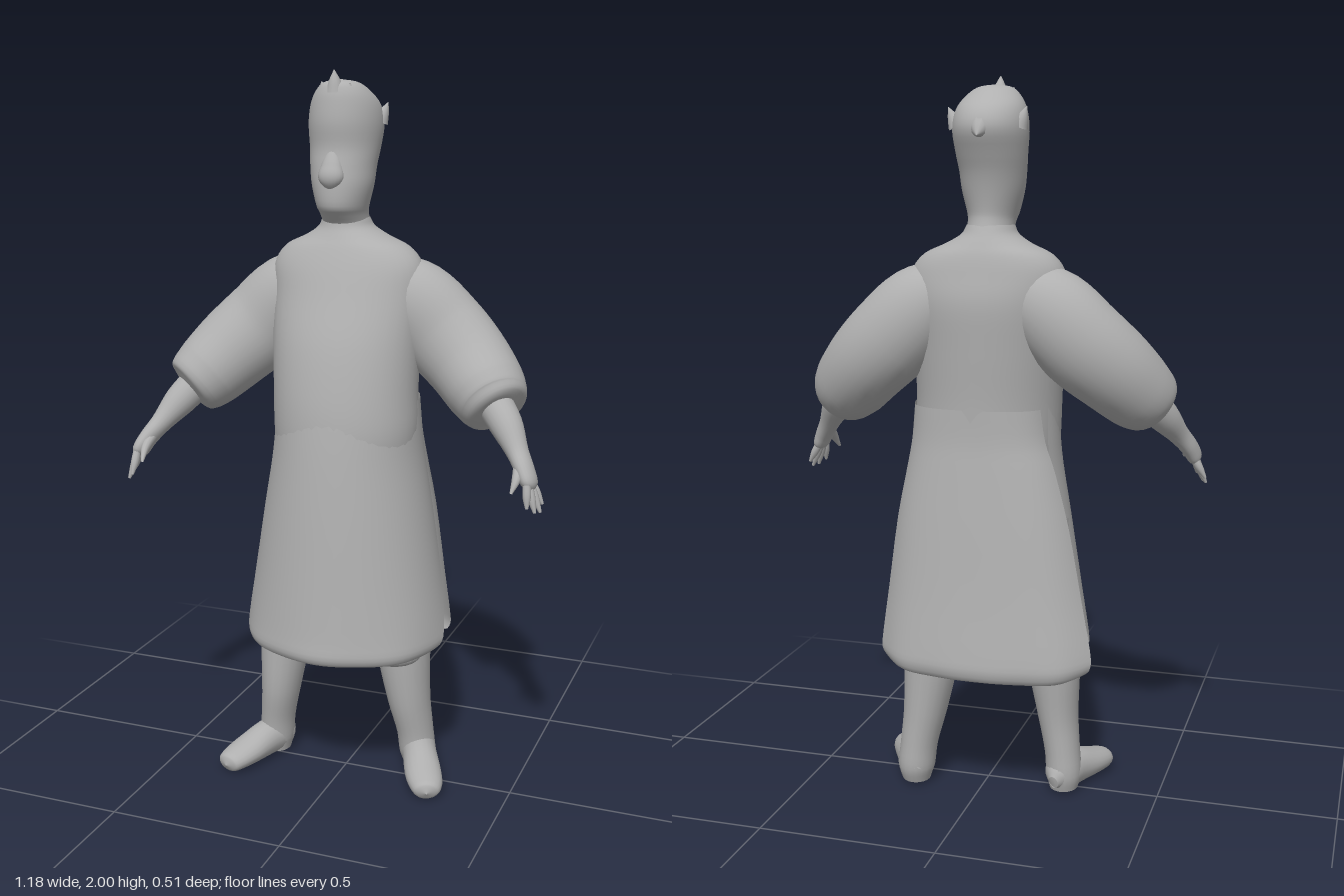
import * as THREE from 'three';

const V = (a) => new THREE.Vector3(a[0], a[1], a[2]);

// Skin a list of rings (arrays of Vector3) with smooth normals
function skin(rings, closed) {
  const n = rings[0].length, pos = [], idx = [];
  rings.forEach((r) => r.forEach((p) => pos.push(p.x, p.y, p.z)));
  for (let i = 0; i < rings.length - 1; i++) {
    for (let j = 0; j < (closed ? n : n - 1); j++) {
      const k = (j + 1) % n, a = i * n + j, b = a + n, c = (i + 1) * n + k, d = i * n + k;
      idx.push(a, b, c, a, c, d);
    }
  }
  const g = new THREE.BufferGeometry();
  g.setAttribute('position', new THREE.Float32BufferAttribute(pos, 3));
  g.setIndex(idx);
  g.computeVertexNormals();
  return g;
}

// Smoothly resample rows of numbers; the rows may have any length
function resample(rows, steps) {
  const curves = rows[0].map((_, c) =>
    new THREE.CatmullRomCurve3(rows.map((r, i) => new THREE.Vector3(i, r[c], 0))));
  return Array.from({ length: steps + 1 }, (_, i) => curves.map((cv) => cv.getPoint(i / steps).y));
}

// Horizontal rings, rows are [y, centre x, half width, front z, back z]
function stack(rows, steps = 40, seg = 40) {
  return skin(resample(rows, steps).map(([y, cx, rx, zf, zb]) =>
    Array.from({ length: seg }, (_, j) => {
      const a = (j / seg) * Math.PI * 2;
      return new THREE.Vector3(cx + rx * Math.sin(a), y, (zf + zb) / 2 + ((zf - zb) / 2) * Math.cos(a));
    })), true);
}

// Open cloth panel, rows are [y, centre x, rx, rz, half angle in degrees]
function panel(rows, mid, cz, sag, square) {
  const seg = 40, bend = (v) => Math.sign(v) * Math.abs(v) ** square;
  return skin(resample(rows, 24).map(([y, cx, rx, rz, half], i) =>
    Array.from({ length: seg + 1 }, (_, j) => {
      const u = (j / seg) * 2 - 1, a = THREE.MathUtils.degToRad(mid + u * half);
      const low = (i / 24) ** 3;
      const fold = 1 + 0.015 * low * Math.cos(u * 11);
      return new THREE.Vector3(
        cx + rx * fold * bend(Math.sin(a)),
        y + low * sag * u ** 4,
        cz + rz * fold * bend(Math.cos(a)));
    })), false);
}

// Tapered tube, rows are [x, y, z, radius along ref, radius across]
function limb(rows, ref = [0, 0, 1], steps = 24, seg = 20) {
  const curve = new THREE.CatmullRomCurve3(rows.map(V));
  const radii = resample(rows.map((r) => [r[3], r[4] ?? r[3]]), steps);
  return skin(radii.map(([r1, r2], i) => {
    const p = curve.getPoint(i / steps), t = curve.getTangent(i / steps);
    const f = V(ref).addScaledVector(t, -t.dot(V(ref))).normalize();
    const s = f.clone().cross(t);
    return Array.from({ length: seg }, (_, j) => {
      const a = (j / seg) * Math.PI * 2;
      return p.clone().addScaledVector(f, r1 * Math.cos(a)).addScaledVector(s, r2 * Math.sin(a));
    });
  }), true);
}

export function createModel() {
  const model = new THREE.Group();
  const grey = new THREE.MeshStandardMaterial({ color: 0xb0b0b0, side: THREE.DoubleSide });
  grey.name = 'plain grey';
  const add = (name, geometry, parent = model) => {
    const m = new THREE.Mesh(geometry, grey);
    m.name = name;
    parent.add(m);
    return m;
  };

  // Head and neck
  const head = new THREE.Group();
  head.name = 'head';
  model.add(head);
  add('skull', stack([
    [1.56, -0.025, 0.07, 0.0, -0.14], [1.59, -0.025, 0.064, 0.004, -0.145],
    [1.62, -0.026, 0.064, 0.028, -0.138], [1.645, -0.027, 0.07, 0.046, -0.136],
    [1.7, -0.028, 0.084, 0.047, -0.145], [1.75, -0.03, 0.09, 0.04, -0.158],
    [1.8, -0.03, 0.096, 0.032, -0.178], [1.86, -0.03, 0.101, 0.037, -0.2],
    [1.91, -0.03, 0.093, 0.033, -0.181], [1.945, -0.03, 0.073, 0.026, -0.135],
    [1.968, -0.03, 0.045, 0.012, -0.09], [1.976, -0.03, 0.001, -0.03, -0.032],
  ]), head);
  add('nose', limb([[-0.03, 1.8, 0.02, 0.006, 0.01], [-0.03, 1.75, 0.03, 0.022, 0.03],
    [-0.03, 1.715, 0.036, 0.025, 0.034], [-0.03, 1.68, 0.034, 0.002]]), head);

  // Pointed tufts of hair: base, tip, radius
  [
    [[-0.03, 1.945, 0.004], [-0.03, 2.0, 0.012], 0.026],
    [[-0.065, 1.93, -0.01], [-0.07, 1.97, 0.0], 0.022],
    [[0.005, 1.93, -0.01], [0.01, 1.965, 0.0], 0.022],
    [[-0.03, 1.86, -0.18], [-0.03, 1.84, -0.215], 0.03],
    [[-0.115, 1.865, -0.11], [-0.137, 1.915, -0.115], 0.024],
    [[0.055, 1.865, -0.11], [0.077, 1.915, -0.115], 0.024],
  ].forEach(([a, b, r]) => add('hairTuft', limb([
    [...a, r], [...a.map((v, i) => (v + b[i]) / 2), r * 0.6], [...b, 0.001]], [0.1, 0.2, 1], 10, 12), head));

  // Upper robe, rising into a soft collar
  add('torso', stack([
    [1.61, -0.026, 0.064, 0.006, -0.14], [1.585, -0.025, 0.078, 0.012, -0.152], [1.56, -0.022, 0.118, 0.024, -0.165],
    [1.53, -0.02, 0.18, 0.04, -0.178], [1.48, -0.017, 0.215, 0.062, -0.19],
    [1.4, -0.012, 0.217, 0.092, -0.203], [1.28, -0.01, 0.21, 0.137, -0.196],
    [1.15, -0.005, 0.205, 0.168, -0.186], [1.05, 0, 0.205, 0.181, -0.182], [0.97, 0, 0.2, 0.18, -0.175],
  ]));

  // Skirt panels, split at the sides and turned under at the hem
  add('frontPanel', panel([
    [1.12, 0, 0.2, 0.191, 108], [1.04, 0, 0.206, 0.204, 110], [0.95, 0, 0.215, 0.216, 110], [0.8, 0, 0.24, 0.232, 106],
    [0.6, 0, 0.272, 0.25, 98], [0.48, 0, 0.292, 0.261, 88],
    [0.43, 0, 0.296, 0.266, 83], [0.408, 0, 0.28, 0.25, 80], [0.425, 0, 0.25, 0.225, 78],
  ], 0, -0.02, 0.02, 1));
  add('backPanel', panel([
    [1.12, 0, 0.195, 0.163, 62], [1.03, -0.002, 0.205, 0.165, 64], [0.95, -0.008, 0.225, 0.174, 66],
    [0.8, -0.015, 0.262, 0.192, 66], [0.6, -0.025, 0.3, 0.215, 64],
    [0.46, -0.033, 0.328, 0.234, 62], [0.41, -0.034, 0.332, 0.238, 61], [0.382, -0.034, 0.318, 0.225, 60],
    [0.4, -0.034, 0.29, 0.205, 59],
  ], 180, -0.02, 0.035, 0.74));

  // Gathered garment beneath the skirt
  add('underRobe', stack([
    [1.02, 0, 0.18, 0.13, -0.14], [0.8, 0, 0.215, 0.13, -0.145], [0.6, -0.003, 0.24, 0.14, -0.15],
    [0.45, -0.005, 0.25, 0.15, -0.15], [0.395, -0.005, 0.235, 0.14, -0.14],
    [0.378, -0.005, 0.18, 0.1, -0.1], [0.4, -0.005, 0.001, 0.0, -0.002],
  ]));
  for (const [x, z] of [[-0.17, 0.06], [0.16, 0.06], [-0.05, 0.09], [0.06, 0.09]]) {
    const puff = add('gatheredFold', new THREE.SphereGeometry(1, 20, 14));
    puff.scale.set(0.085, 0.035, 0.07);
    puff.position.set(x, 0.405, z);
  }

  // Sleeves, forearms and hands; the two arms are posed differently
  const arms = {
    left: {
      sleeve: [[0.07, 1.43, -0.07, 0.08, 0.09], [0.165, 1.382, -0.085, 0.104, 0.12], [0.25, 1.3, -0.092, 0.11, 0.126],
        [0.325, 1.23, -0.075, 0.113, 0.12], [0.39, 1.165, -0.035, 0.112, 0.11], [0.42, 1.135, -0.01, 0.1, 0.098],
        [0.433, 1.123, 0.002, 0.082, 0.084], [0.438, 1.118, 0.006, 0.045, 0.045], [0.44, 1.116, 0.008, 0.002]],
      hand: [[0.4, 1.16, -0.02, 0.05], [0.465, 1.088, 0.03, 0.045], [0.508, 1.025, 0.067, 0.033, 0.03],
        [0.535, 0.985, 0.092, 0.036, 0.025], [0.553, 0.95, 0.105, 0.034, 0.02], [0.56, 0.93, 0.11, 0.002]],
      knuckle: [0.55, 0.955, 0.105],
      tips: [[0.584, 0.895, 0.085], [0.584, 0.878, 0.107], [0.573, 0.88, 0.125], [0.555, 0.893, 0.14]],
      thumb: [[0.52, 1.0, 0.09], [0.522, 0.965, 0.13], [0.515, 0.935, 0.152]],
    },
    right: {
      sleeve: [[-0.1, 1.43, -0.07, 0.08, 0.09], [-0.195, 1.382, -0.082, 0.104, 0.12], [-0.28, 1.3, -0.075, 0.11, 0.126],
        [-0.355, 1.23, -0.04, 0.113, 0.12], [-0.415, 1.165, 0.01, 0.108, 0.108], [-0.443, 1.135, 0.038, 0.096, 0.096],
        [-0.455, 1.122, 0.05, 0.08, 0.082], [-0.46, 1.117, 0.055, 0.045, 0.045], [-0.462, 1.115, 0.057, 0.002]],
      hand: [[-0.42, 1.16, 0.02, 0.05], [-0.478, 1.088, 0.075, 0.045], [-0.515, 1.03, 0.125, 0.033, 0.03],
        [-0.54, 0.99, 0.16, 0.036, 0.025], [-0.555, 0.955, 0.185, 0.034, 0.02], [-0.56, 0.94, 0.19, 0.002]],
      knuckle: [-0.553, 0.96, 0.183],
      tips: [[-0.588, 0.9, 0.165], [-0.586, 0.88, 0.195], [-0.575, 0.882, 0.215], [-0.555, 0.9, 0.232]],
      thumb: [[-0.525, 1.005, 0.15], [-0.525, 0.975, 0.205], [-0.515, 0.945, 0.245]],
    },
  };
  for (const [side, a] of Object.entries(arms)) {
    const arm = new THREE.Group();
    arm.name = side + 'Arm';
    model.add(arm);
    add('sleeve', limb(a.sleeve, [0, 0, 1], 40, 28), arm);
    add('forearmAndPalm', limb(a.hand), arm);
    a.tips.forEach((tip, i) => {
      const base = [a.knuckle[0], a.knuckle[1], a.knuckle[2] + (i - 1.5) * 0.014];
      const mid = base.map((v, k) => v * 0.5 + tip[k] * 0.5);
      add('finger', limb([[...base, 0.011], [...mid, 0.011], [...tip, 0.004]], [0, 0, 1], 8, 10), arm);
    });
    add('thumb', limb([[...a.thumb[0], 0.016], [...a.thumb[1], 0.012], [...a.thumb[2], 0.004]], [1, 0, 0], 8, 10), arm);
  }

  // Legs and out-turned feet
  const legs = {
    left: {
      leg: [[0.125, 0.8, -0.06, 0.09, 0.08], [0.145, 0.55, -0.058, 0.088, 0.085], [0.155, 0.37, -0.06, 0.084, 0.078],
        [0.172, 0.22, -0.066, 0.075, 0.062], [0.188, 0.12, -0.076, 0.064, 0.053], [0.195, 0.05, -0.08, 0.06, 0.052],
        [0.196, 0.008, -0.08, 0.045, 0.04]],
      foot: [[0.178, 0.04, -0.13, 0.02, 0.015], [0.19, 0.052, -0.1, 0.051, 0.048], [0.22, 0.052, -0.03, 0.052, 0.05],
        [0.256, 0.04, 0.05, 0.04, 0.053], [0.28, 0.032, 0.1, 0.032, 0.047], [0.29, 0.028, 0.128, 0.025, 0.034],
        [0.294, 0.026, 0.138, 0.002]],
    },
    right: {
      leg: [[-0.16, 0.8, -0.04, 0.09, 0.08], [-0.185, 0.55, -0.03, 0.088, 0.083], [-0.2, 0.37, -0.02, 0.08, 0.074],
        [-0.212, 0.22, -0.012, 0.071, 0.057], [-0.226, 0.12, -0.018, 0.061, 0.05], [-0.232, 0.05, -0.022, 0.057, 0.05],
        [-0.232, 0.008, -0.022, 0.045, 0.04]],
      foot: [[-0.215, 0.04, -0.08, 0.02, 0.015], [-0.225, 0.052, -0.045, 0.051, 0.047], [-0.248, 0.052, 0.025, 0.052, 0.049],
        [-0.277, 0.04, 0.1, 0.04, 0.052], [-0.296, 0.032, 0.15, 0.032, 0.046], [-0.304, 0.028, 0.176, 0.025, 0.034],
        [-0.307, 0.026, 0.186, 0.002]],
    },
  };
  for (const [side, l] of Object.entries(legs)) {
    add(side + 'Leg', limb(l.leg));
    add(side + 'Foot', limb(l.foot, [0, 1, 0]));
  }
  return model;
}
